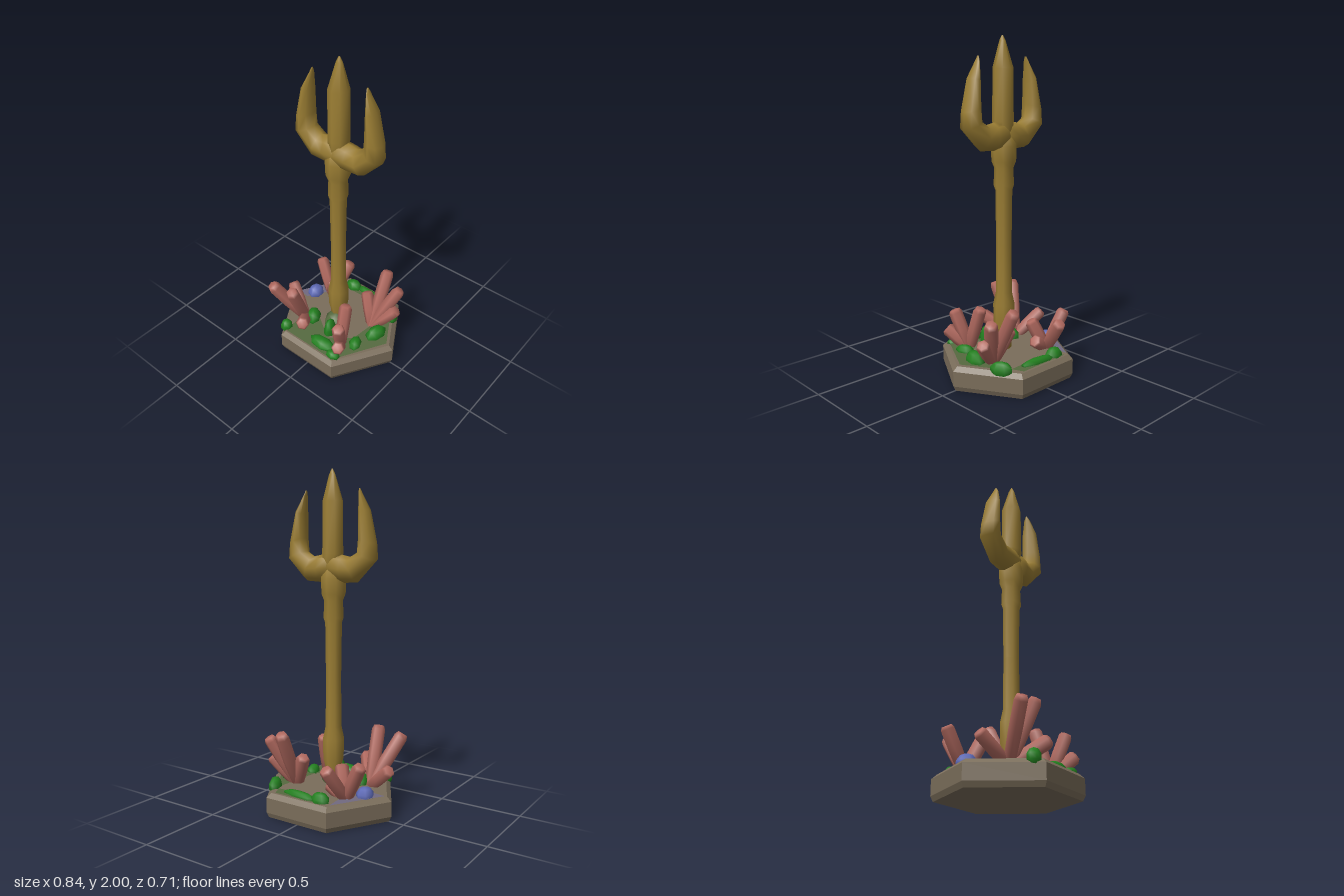
import * as THREE from 'three';

const mat = (name, color) => {
  const m = new THREE.MeshStandardMaterial({ color });
  m.name = name;
  return m;
};

// Closed smooth skin through rings of equal size, wound outwards
function skin(rings) {
  const n = rings[0].length, pos = [], idx = [];
  rings.forEach(r => r.forEach(p => pos.push(p.x, p.y, p.z)));
  for (let i = 0; i < rings.length - 1; i++) {
    for (let j = 0; j < n; j++) {
      const a = i * n + j, b = i * n + (j + 1) % n;
      idx.push(a, b, a + n, b, b + n, a + n);
    }
  }
  const last = (rings.length - 1) * n;
  for (let j = 1; j < n - 1; j++) idx.push(0, j + 1, j, last, last + j, last + j + 1);
  // Signed volume tells whether the winding has to be flipped
  const v = k => new THREE.Vector3().fromArray(pos, idx[k] * 3);
  let vol = 0;
  for (let k = 0; k < idx.length; k += 3) vol += v(k).dot(v(k + 1).cross(v(k + 2)));
  if (vol < 0) idx.reverse();
  const g = new THREE.BufferGeometry();
  g.setAttribute('position', new THREE.Float32BufferAttribute(pos, 3));
  g.setIndex(idx);
  g.computeVertexNormals();
  return g;
}

// Oval ring spanning two points in the xy plane, with a half depth in z
function ovalRing([ax, ay, bx, by, h], z, sides = 8) {
  return Array.from({ length: sides }, (_, j) => {
    const t = j / sides * Math.PI * 2, c = Math.cos(t) / 2;
    return new THREE.Vector3((ax + bx) / 2 + (bx - ax) * c, (ay + by) / 2 + (by - ay) * c, z + h * Math.sin(t));
  });
}

export function createModel() {
  const model = new THREE.Group();
  model.name = 'tridentOnReef';
  const gold = mat('gold', 0x9a7d33), stone = mat('stone', 0x7a6d5a), coral = mat('coral', 0xb0695f);
  const green = mat('seaweed green', 0x23801f), moss = mat('mossy stone', 0x566a40);
  const blue = mat('blue', 0x5d69b5), violet = mat('violet stone', 0x716a80);
  const add = (parent, name, geo, material, x = 0, y = 0, z = 0) => {
    const m = new THREE.Mesh(geo, material);
    m.name = name;
    m.position.set(x, y, z);
    parent.add(m);
    return m;
  };

  // Six-sided stone base with a bevelled rim
  const baseProfile = [[0, 0], [0.405, 0], [0.42, 0.03], [0.42, 0.12], [0.39, 0.145], [0, 0.145]];
  const baseGeo = new THREE.LatheGeometry(baseProfile.map(p => new THREE.Vector2(...p)), 6, Math.PI / 2).toNonIndexed();
  baseGeo.computeVertexNormals();
  baseGeo.scale(1, 1, 0.97);
  add(model, 'base', baseGeo, stone);

  // Trident
  const trident = new THREE.Group();
  trident.name = 'trident';
  trident.position.z = 0.025;
  model.add(trident);
  const shaft = [[0, 0.14], [0.045, 0.14], [0.05, 0.25], [0.062, 0.3], [0.065, 0.42], [0.048, 0.5], [0.046, 0.8],
    [0.05, 1.12], [0.06, 1.15], [0.056, 1.25], [0.072, 1.29], [0.075, 1.38], [0.06, 1.46], [0, 1.46]];
  add(trident, 'shaft', new THREE.LatheGeometry(shaft.map(p => new THREE.Vector2(...p)), 8), gold, -0.003);
  const prong = [[-0.055, 1.4, 0.055, 1.4, 0.06], [-0.062, 1.52, 0.062, 1.52, 0.062], [-0.06, 1.82, 0.06, 1.82, 0.06],
    [-0.015, 1.97, 0.022, 1.97, 0.018], [0, 2, 0.008, 2, 0.004]];
  add(trident, 'middleProng', skin(prong.map(r => ovalRing(r, 0))), gold, 0.003);
  const tine = [[0, 1.355, 0, 1.525, 0.068], [0.08, 1.355, 0.075, 1.515, 0.068], [0.175, 1.36, 0.125, 1.505, 0.066],
    [0.297, 1.485, 0.18, 1.535, 0.066], [0.288, 1.58, 0.188, 1.61, 0.064], [0.245, 1.765, 0.19, 1.75, 0.052],
    [0.195, 1.86, 0.183, 1.855, 0.02], [0.188, 1.885, 0.18, 1.885, 0.005]];
  for (const s of [-1, 1]) {
    const rings = tine.map(([ax, ay, bx, by, h]) => ovalRing([s * ax, ay, s * bx, by, h], 0));
    add(trident, s > 0 ? 'leftTine' : 'rightTine', skin(rings), gold, 0.006);
  }

  // Coral: tapered six-sided branches from a root to each tip
  const up = new THREE.Vector3(0, 1, 0);
  const branch = (parent, from, to, r) => {
    const a = new THREE.Vector3(...from), d = new THREE.Vector3(...to).sub(a), L = d.length();
    const pts = [[0, 0], [r * 0.85, 0], [r, L * 0.5], [r, L * 0.93], [r * 0.75, L], [0, L]];
    const m = add(parent, 'coralBranch', new THREE.LatheGeometry(pts.map(p => new THREE.Vector2(...p)), 6), coral, ...from);
    m.quaternion.setFromUnitVectors(up, d.normalize());
  };
  const corals = [
    ['backRightCoral', [-0.2, 0.13, -0.14], [[-0.16, 0.34, -0.29], [-0.32, 0.36, -0.18], [-0.13, 0.31, -0.08], [-0.09, 0.21, -0.15]]],
    ['backLeftCoral', [0.19, 0.13, -0.08], [[0.18, 0.48, -0.25], [0.31, 0.43, -0.2], [0.33, 0.3, -0.15], [0.1, 0.33, -0.14]]],
    ['frontRightCoral', [-0.2, 0.13, 0.13], [[-0.33, 0.44, 0.29], [-0.17, 0.47, 0.28], [-0.07, 0.27, 0.3], [-0.37, 0.28, 0.06]]],
    ['frontLeftCoral', [0.14, 0.13, 0.18], [[0.12, 0.4, 0.1], [0.19, 0.37, 0.26], [0.22, 0.25, 0.3]]],
  ];
  for (const [name, root, tips] of corals) {
    const g = new THREE.Group();
    g.name = name;
    model.add(g);
    tips.forEach(t => branch(g, root, t, 0.041));
  }

  // Thin patches of growth lying on the base, outlined in x and z
  const patch = (name, material, pts) => {
    const shape = new THREE.Shape(pts.map(([x, z]) => new THREE.Vector2(x, -z)));
    add(model, name, new THREE.ShapeGeometry(shape).rotateX(-Math.PI / 2), material, 0, 0.149);
  };
  patch('mossFront', moss, [[-0.2, 0.32], [0.19, 0.32], [0.37, 0], [0.22, -0.25], [0.18, 0.1], [0.05, 0.2], [-0.1, 0.1], [-0.2, 0.22]]);
  patch('mossBack', moss, [[-0.17, -0.32], [0.17, -0.32], [0.2, -0.25], [-0.12, -0.24]]);
  patch('violetPatch', violet, [[-0.2, -0.31], [-0.38, -0.01], [-0.3, 0], [-0.19, -0.18]]);

  // Low mounds of seaweed and pebbles: x, z, half sizes, turn
  const mound = (name, material, [x, z, sx, sy, sz, turn = 0]) => {
    const m = add(model, name, new THREE.SphereGeometry(1, 7, 5), material, x, 0.15, z);
    m.scale.set(sx, sy, sz);
    m.rotation.y = turn;
  };
  [
    [0.06, 0.26, 0.1, 0.04, 0.05], [-0.14, 0.12, 0.05, 0.06, 0.07, 0.5], [0.03, 0.15, 0.035, 0.11, 0.05],
    [-0.22, 0.29, 0.04, 0.05, 0.04], [0.27, -0.02, 0.05, 0.06, 0.08, -0.2], [0.25, -0.22, 0.04, 0.05, 0.07, 0.5],
    [-0.12, -0.28, 0.06, 0.05, 0.045], [0.02, -0.285, 0.13, 0.03, 0.03, -0.1], [0.22, 0.13, 0.04, 0.04, 0.06, 0.4],
    [0.17, 0.29, 0.05, 0.03, 0.035],
  ].forEach(p => mound('seaweed', green, p));
  mound('rockAroundShaft', moss, [0.01, 0.06, 0.085, 0.09, 0.08]);
  mound('bluePebble', blue, [-0.285, -0.07, 0.052, 0.055, 0.06]);

  return model;
}
